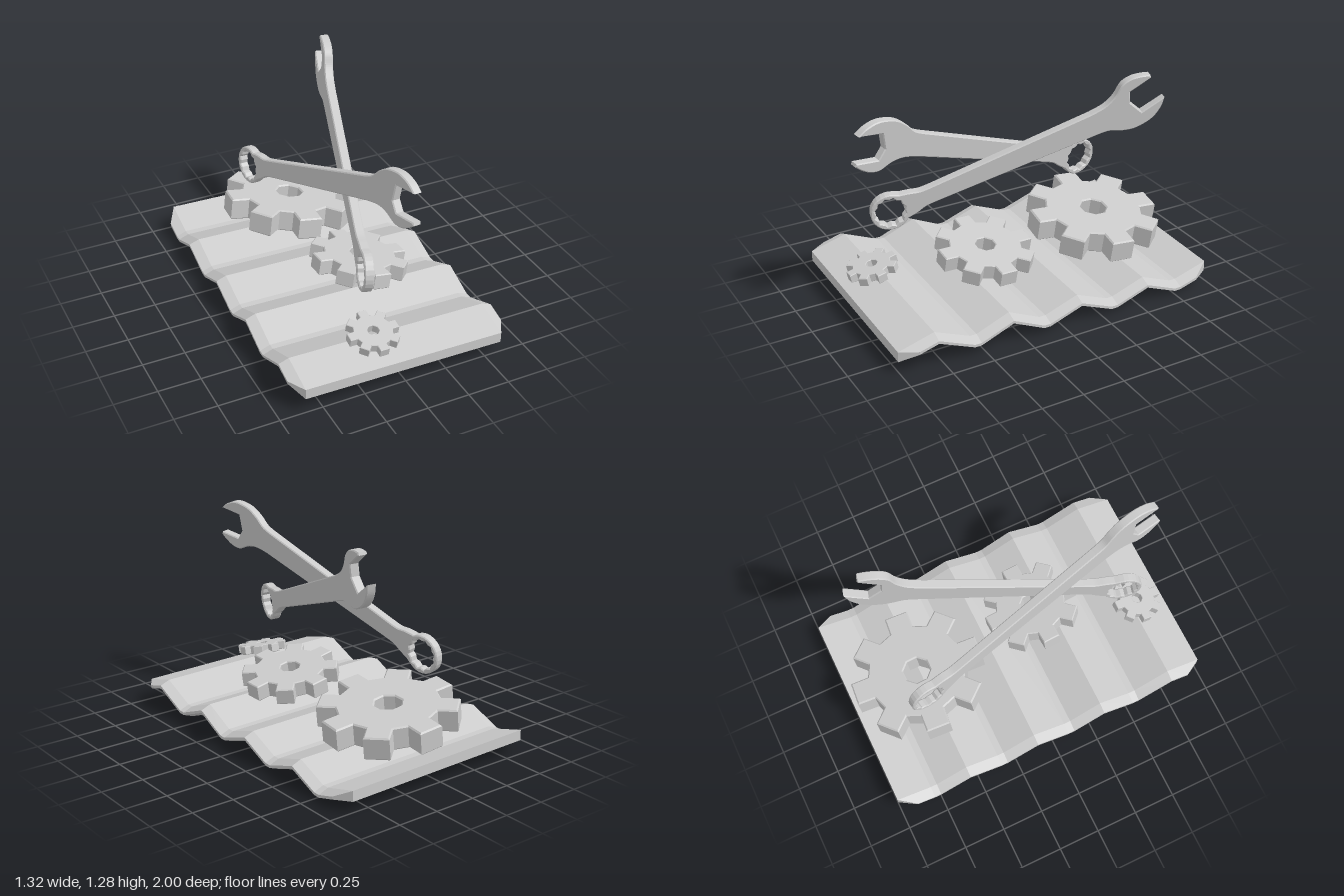
import * as THREE from 'three';

const material = new THREE.MeshStandardMaterial({ color: 0xcccccc, flatShading: true });

function addMesh(parent, name, geometry) {
  const mesh = new THREE.Mesh(geometry, material);
  mesh.name = name;
  parent.add(mesh);
  return mesh;
}

// Extrude a shape to a total thickness, centred, with small bevelled edges
function plate(shape, thickness, bevel) {
  const depth = thickness - 2 * bevel;
  return new THREE.ExtrudeGeometry(shape, {
    depth, bevelEnabled: true, bevelThickness: bevel, bevelSize: bevel,
    bevelOffset: -bevel, bevelSegments: 1, curveSegments: 6,
  }).translate(0, 0, -depth / 2);
}

const polar = (r, a) => new THREE.Vector2(r * Math.cos(a), r * Math.sin(a));

// Corrugated sheet: zigzag mid-line, thinned to a knife edge along both sides
function corrugatedSheet() {
  const mid = [[1, 0.113], [0.785, 0.172], [0.57, 0.08], [0.53, 0.08], [0.33, 0.158],
    [0.135, 0.067], [0.095, 0.067], [-0.11, 0.138], [-0.31, 0.056], [-0.35, 0.056],
    [-0.555, 0.126], [-0.75, 0.047], [-0.79, 0.047], [-1, 0.108]];
  const n = mid.length;
  const sections = [[-0.66, 0.008, 0.9], [-0.6, 0.031, 1], [0.6, 0.031, 1], [0.66, 0.008, 0.9]];
  const positions = [], index = [];
  for (const [x, half, zEnd] of sections) {
    const line = mid.map(([z, y], i) => {
      if (Math.abs(z) < 1) return [z, y];
      const [z2, y2] = mid[i === 0 ? 1 : n - 2]; // cut corners follow the slope
      const zc = Math.sign(z) * zEnd;
      return [zc, y + (y2 - y) * (zc - z) / (z2 - z)];
    });
    const tilt = -0.02 * x;
    line.forEach(([z, y]) => positions.push(x, y + half + tilt, z));
    [...line].reverse().forEach(([z, y]) => positions.push(x, y - half + tilt, z));
  }
  const ring = 2 * n;
  const quad = (a, b, c, d) => index.push(a, b, c, a, c, d);
  for (let s = 0; s < sections.length - 1; s++) {
    for (let i = 0; i < ring; i++) {
      const j = (i + 1) % ring, a = s * ring, b = a + ring;
      quad(a + i, b + i, b + j, a + j);
    }
  }
  const last = (sections.length - 1) * ring;
  for (let i = 0; i < n - 1; i++) {
    const low = ring - 1 - i;
    quad(last + i, last + low, last + low - 1, last + i + 1);
    quad(i, i + 1, low - 1, low);
  }
  const geometry = new THREE.BufferGeometry();
  geometry.setAttribute('position', new THREE.Float32BufferAttribute(positions, 3));
  geometry.setIndex(index);
  const flat = geometry.toNonIndexed();
  flat.computeVertexNormals();
  return flat;
}

// Eight-toothed gear with an octagonal bore, lying flat
function gear(radius, bore, thickness, turn) {
  const points = [];
  for (let i = 0; i < 8; i++) {
    const a = turn + i * Math.PI / 4;
    points.push(polar(radius * 0.735, a - 0.25), polar(radius, a - 0.18),
      polar(radius, a + 0.18), polar(radius * 0.735, a + 0.25));
  }
  const shape = new THREE.Shape(points);
  const hole = [];
  for (let i = 0; i < 8; i++) hole.push(polar(bore, Math.PI / 8 + i * Math.PI / 4));
  shape.holes.push(new THREE.Path(hole));
  return plate(shape, thickness, radius * 0.02).rotateX(-Math.PI / 2);
}

// Combination wrench along +x: ring end at the origin, angled open jaw at the far end
function wrench() {
  const v = (list) => list.map(([x, y]) => new THREE.Vector2(x, y));
  const shape = new THREE.Shape();
  shape.moveTo(0.27, -0.052);
  shape.lineTo(1.25, -0.068);
  shape.splineThru(v([[1.32, -0.075], [1.39, -0.107], [1.47, -0.125], [1.57, -0.11],
    [1.64, -0.065], [1.68, -0.012]]));
  // jaw opening
  shape.lineTo(1.53, -0.043);
  shape.lineTo(1.482, 0.044);
  shape.lineTo(1.50, 0.11);
  shape.lineTo(1.64, 0.142);
  shape.lineTo(1.64, 0.16);
  shape.splineThru(v([[1.59, 0.177], [1.53, 0.185], [1.47, 0.17], [1.41, 0.118],
    [1.34, 0.085], [1.25, 0.073]]));
  shape.lineTo(0.27, 0.052);
  shape.splineThru(v([[0.2, 0.054], [0.14, 0.071], [0.085, 0.084]]));
  // ring end
  for (let i = 1; i <= 20; i++) {
    const p = polar(0.114, 0.78 + (i / 20) * (2 * Math.PI - 1.56));
    shape.lineTo(p.x, p.y);
  }
  shape.splineThru(v([[0.14, -0.071], [0.2, -0.054], [0.27, -0.052]]));
  // twelve-point socket
  const socket = [];
  for (let i = 0; i < 24; i++) socket.push(polar(i % 2 ? 0.082 : 0.092, i * Math.PI / 12));
  shape.holes.push(new THREE.Path(socket));
  return plate(shape, 0.054, 0.006);
}

export function createModel() {
  const model = new THREE.Group();
  model.name = 'gearsAndWrenches';

  addMesh(model, 'corrugatedSheet', corrugatedSheet());

  // Gears: radius, bore, thickness, turn, position, slope along x and z
  const gears = [
    ['largeGear', 0.4, 0.082, 0.135, -0.08, [0.013, 0.272, -0.58], -0.14, 0.05],
    ['mediumGear', 0.287, 0.06, 0.095, 0.03, [0.105, 0.292, 0.212], -0.18, 0.05],
    ['smallGear', 0.15, 0.034, 0.052, 0, [-0.115, 0.243, 0.82], 0, -0.22],
  ];
  const up = new THREE.Vector3(0, 1, 0);
  for (const [name, r, bore, t, turn, pos, sx, sz] of gears) {
    const mesh = addMesh(model, name, gear(r, bore, t, turn));
    mesh.position.set(...pos);
    mesh.quaternion.setFromUnitVectors(up, new THREE.Vector3(-sx, 1, -sz).normalize());
  }

  // Crossed wrenches: ring position, direction to the jaw, side the jaw turns to
  const wrenches = [
    ['rightLeaningWrench', [-0.105, 0.578, 0.7], [0.41, 0.514, -1.38], 1],
    ['backRingWrench', [-0.215, 0.578, -0.605], [0.25, 0.52, 1.42], -1],
  ];
  for (const [name, pos, dir, side] of wrenches) {
    const mesh = addMesh(model, name, wrench());
    const d = new THREE.Vector3(...dir).normalize();
    const v = new THREE.Vector3(0.08 * side, side, 0);
    v.addScaledVector(d, -v.dot(d)).normalize();
    const n = new THREE.Vector3().crossVectors(d, v);
    mesh.quaternion.setFromRotationMatrix(new THREE.Matrix4().makeBasis(d, v, n));
    mesh.position.set(...pos);
  }

  return model;
}
